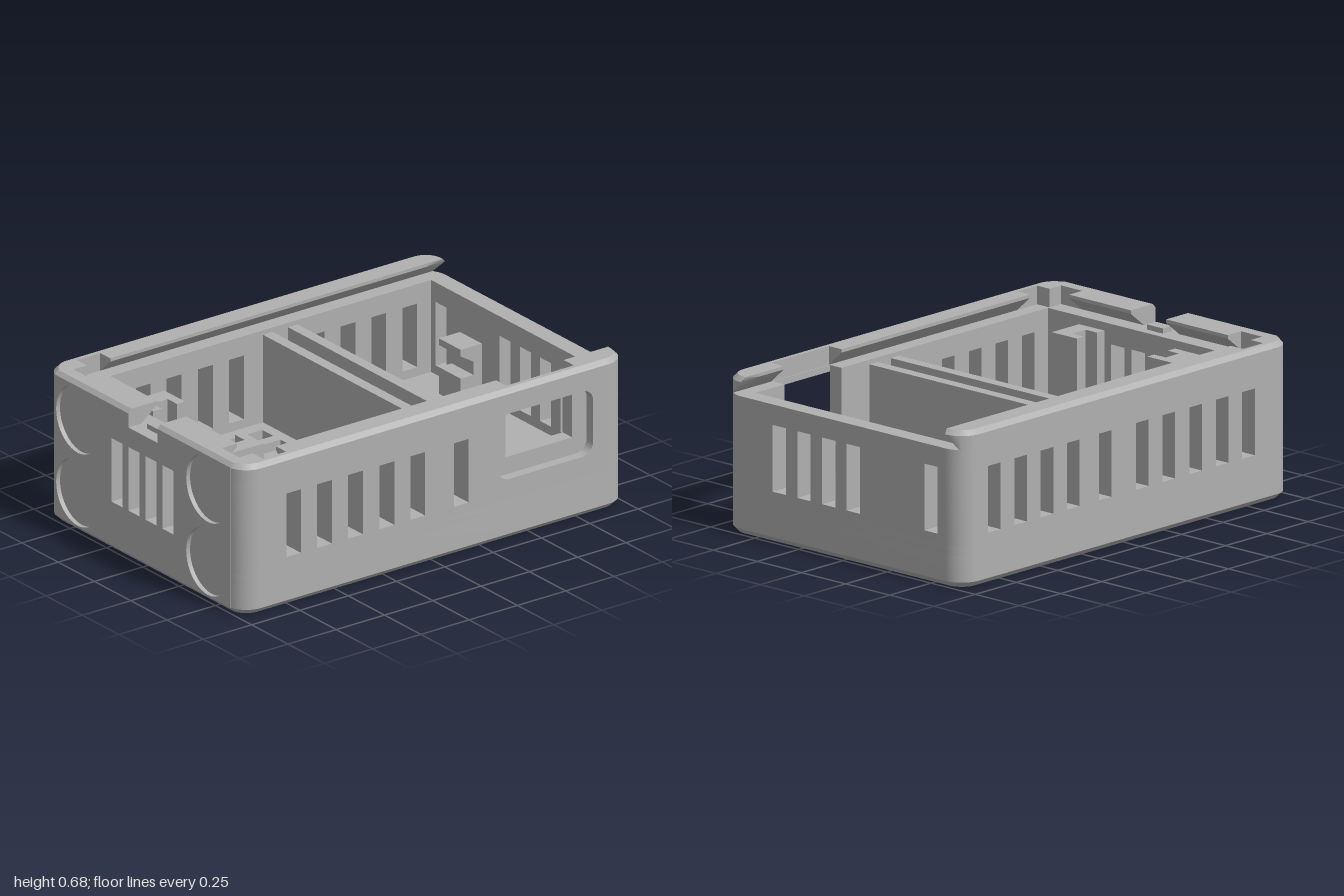
import * as THREE from 'three';
import { toCreasedNormals } from 'three/addons/utils/BufferGeometryUtils.js';
import { ConvexGeometry } from 'three/addons/geometries/ConvexGeometry.js';

const W = 0.68, R = 0.1, IN = 0.57;             // half width, corner radius, inner half width
const FLOOR = 0.18, LEDGE = 0.595, TOP = 0.675; // main heights
const BACK = -0.92, FRONT = 0.85, SKIN = 0.98;  // inner wall faces and front skin

export function createModel() {
  const model = new THREE.Group();
  const grey = new THREE.MeshStandardMaterial({ color: 0xb0b0b0 });
  grey.name = 'grey plastic';

  const add = (name, geo) => {
    const mesh = new THREE.Mesh(toCreasedNormals(geo, 0.6), grey);
    mesh.name = name;
    model.add(mesh);
  };
  const box = (name, x0, x1, y0, y1, z0, z1) => add(name,
    new THREE.BoxGeometry(Math.abs(x1 - x0), y1 - y0, z1 - z0)
      .translate((x0 + x1) / 2, (y0 + y1) / 2, (z0 + z1) / 2));
  const poly = pts => new THREE.Shape(pts.map(p => new THREE.Vector2(...p)));
  const rect = (a0, a1, b0, b1) => poly([[a0, b0], [a1, b0], [a1, b1], [a0, b1]]);
  const disc = (x, y, r) => new THREE.Shape().absarc(x, y, r, 0, Math.PI * 2);
  const extrude = (shape, holes, depth) => {
    shape.holes.push(...holes);
    return new THREE.ExtrudeGeometry(shape, { depth, bevelEnabled: false, curveSegments: 20 });
  };
  // plan: (x, -z) shape raised from y0 to y1; side: (z, y) shape from x0 to x1; front: (x, y) shape
  const plan = (name, shape, holes, y0, y1) =>
    add(name, extrude(shape, holes, y1 - y0).rotateX(-Math.PI / 2).translate(0, y0, 0));
  const side = (name, shape, holes, x0, x1) =>
    add(name, extrude(shape, holes, x1 - x0).rotateY(-Math.PI / 2).translate(x1, 0, 0));
  const front = (name, shape, holes, z0, z1) =>
    add(name, extrude(shape, holes, z1 - z0).translate(0, 0, z0));

  // Quarter arc at a corner, from the side face to the end face
  const arc = (sx, sz, r = R, n = 10, from = 0, to = Math.PI / 2) =>
    Array.from({ length: n + 1 }, (_, i) => {
      const t = from + (to - from) * i / n;
      return [sx * (W - R + r * Math.cos(t)), sz * (1 - R + r * Math.sin(t))];
    });
  const flip = pts => pts.map(([x, z]) => [x, -z]);
  const outline = inset => [
    ...arc(1, 1, R - inset), ...arc(-1, 1, R - inset).reverse(),
    ...arc(-1, -1, R - inset), ...arc(1, -1, R - inset).reverse()];

  // Floor: vents go through, keyholes are blind from below
  const vents = () => [-0.47, -0.345, -0.215, -0.08].map(x => rect(x - 0.038, x + 0.038, -0.56, 0));
  const keyholes = () => [-0.39, 0.72].map(z => {
    const s = new THREE.Shape(), a = Math.asin(0.045 / 0.14), y = -z;
    s.absarc(0.24, y, 0.14, Math.PI / 2 + a, Math.PI * 2.5 - a);
    s.absarc(0.24, y + 0.26, 0.045, 0, Math.PI);
    return s;
  });
  const arcFront = arc(1, 1, R, 10, 0, Math.acos(0.25));
  const mirrorX = pts => pts.map(([x, z]) => [-x, z]);
  const stepped = () => poly(flip([
    ...arcFront, [0.605, SKIN], [-0.605, SKIN], ...mirrorX(arcFront).reverse(),
    ...arc(-1, -1), ...arc(1, -1).reverse()]));
  plan('floorBottom', poly(flip(outline(0.025))), [...vents(), ...keyholes()], 0, 0.025);
  plan('floorMiddle', stepped(), [...vents(), ...keyholes()], 0.025, 0.14);
  plan('floorTop', stepped(), vents(), 0.14, FLOOR);

  // Chamfer around the bottom edge
  const low = outline(0.025), high = outline(0), pos = [];
  low.forEach((_, i) => {
    const j = (i + 1) % low.length;
    const a = [low[i][0], 0, low[i][1]], b = [low[j][0], 0, low[j][1]];
    const c = [high[j][0], 0.025, high[j][1]], d = [high[i][0], 0.025, high[i][1]];
    pos.push(...a, ...c, ...b, ...a, ...d, ...c);
  });
  const skirt = new THREE.BufferGeometry();
  skirt.setAttribute('position', new THREE.Float32BufferAttribute(pos, 3));
  skirt.computeVertexNormals();
  add('bottomChamfer', skirt);

  // Side walls with vent slots
  const slots = list => list.map(c => rect(c - 0.038, c + 0.038, 0.22, 0.507));
  const shared = [0.73, 0.57, 0.41, 0.247, 0.087, -0.138];
  side('rightWall', rect(-0.9, FRONT, FLOOR, LEDGE), slots([...shared, -0.33, -0.49, -0.65, -0.81]), -W, -IN);
  const port = new THREE.Shape(), pr = 0.055;
  port.absarc(-0.33 - pr, 0.567 - pr, pr, 0, Math.PI / 2);
  port.absarc(-0.82 + pr, 0.567 - pr, pr, Math.PI / 2, Math.PI);
  port.absarc(-0.82 + pr, 0.272 + pr, pr, Math.PI, Math.PI * 1.5);
  port.absarc(-0.33 - pr, 0.272 + pr, pr, Math.PI * 1.5, Math.PI * 2);
  side('leftWallOuter', rect(-0.9, FRONT, FLOOR, LEDGE), [...slots(shared), port], 0.635, W);
  side('leftWallInner', poly([[-0.9, FLOOR], [FRONT, FLOOR], [FRONT, LEDGE], [-0.4, LEDGE],
    [-0.4, 0.35], [-0.745, 0.35], [-0.745, LEDGE], [-0.9, LEDGE]]), slots(shared), IN, 0.635);

  // Back and front walls; the front skin carries round recesses and the latch notch
  front('backWall', rect(-IN, IN, FLOOR, LEDGE), slots([0.36, 0.22, 0.08, -0.06, -0.5]), -1, BACK);
  const frontSlots = () => slots([-0.177, -0.06, 0.058, 0.173]);
  front('frontWall', rect(-IN, IN, FLOOR, LEDGE), frontSlots(), FRONT, SKIN);
  const discs = [-1, 1].flatMap(s => [0.179, 0.508].map(y => disc(s * 0.448, y, 0.149)));
  front('frontSkin', poly([[-0.605, 0.025], [0.605, 0.025], [0.605, 0.658], [0.1, 0.658],
    [0.1, LEDGE], [-0.1, LEDGE], [-0.1, 0.658], [-0.605, 0.658]]), [...frontSlots(), ...discs], SKIN, 1);
  box('latchBump', -0.045, 0.045, LEDGE, 0.617, 0.89, 0.945);

  for (const s of [-1, 1]) {
    const mx = pts => pts.map(([x, z]) => [s * x, z]);

    // Corner posts
    plan('frontCorner', poly(flip(mx([[IN, FRONT], [W, FRONT], ...arcFront,
      [0.605, SKIN], [IN, SKIN]]))), [], FLOOR, LEDGE);
    plan('backCorner', poly(flip(mx([[IN, -0.9], ...arc(1, -1), [IN, -1]]))), [], FLOOR, LEDGE);

    // Undercut rails that hold a sliding lid, thin where the overhang is cut away
    const outer = [[W, LEDGE], [W, 0.655], [0.66, TOP]];
    const full = [...outer, [IN, TOP], [IN, 0.66], [0.64, LEDGE]];
    const thin = [...outer, [0.64, TOP], [0.64, LEDGE]];
    const runs = s > 0
      ? [[-0.9, -0.75, full], [-0.75, -0.4, thin], [-0.4, 0.74, full], [0.74, 0.86, thin]]
      : [[-0.9, 0.74, full], [0.74, 0.86, thin]];
    for (const [z0, z1, profile] of runs) front('lidRail', poly(mx(profile)), [], z0, z1);

    // Rounded rail ends
    const v = y => ([x, z]) => new THREE.Vector3(s * x, y, z);
    add('railBackEnd', new ConvexGeometry([
      ...full.map(([x, y]) => new THREE.Vector3(s * x, y, -0.9)),
      ...arc(1, -1, R, 8, 0, Math.acos(0.6)).map(v(LEDGE)),
      ...arc(1, -1).map(v(0.655)), ...arc(1, -1, 0.08).map(v(TOP)), v(TOP)([IN, -0.98])]));
    add('railFrontCorner', new ConvexGeometry([
      ...[[0.605, 0.86], [W, 0.86], ...arcFront].flatMap(p => [v(LEDGE)(p), v(0.655)(p)]),
      ...[[0.605, 0.86], [0.66, 0.86], ...arc(1, 1, 0.08, 10, 0, Math.acos(0.3125))].map(v(TOP))]));
    box('railCornerFill', s * IN, s * 0.605, LEDGE, TOP, 0.86, 0.93);

    // Front lip
    const face = [[SKIN, LEDGE], [SKIN, 0.658], [1, 0.658], [0.983, TOP]];
    const lip = [...face, [FRONT, TOP], [FRONT, 0.66], [0.93, LEDGE]];
    const thinLip = [...face, [0.93, TOP], [0.93, LEDGE]];
    const span = (a, b) => [Math.min(s * a, s * b), Math.max(s * a, s * b)];
    side('frontLip', poly(lip), [], ...span(0.1, 0.45));
    side('frontLipThin', poly(thinLip), [], ...span(0.45, 0.605));

    // Clip posts with a slotted overhang
    box('clipPost', s * 0.265, s * 0.342, FLOOR, 0.58, 0.63, 0.797);
    for (const [z0, z1] of [[0.63, 0.672], [0.752, 0.797]])
      front('clipJaw', poly(mx([[0.265, 0.25], [0.2, 0.315], [0.2, 0.58], [0.265, 0.58]])), [], z0, z1);
    box('clipFoot', s * 0.2, s * 0.265, FLOOR, 0.215, 0.672, 0.752);
  }

  // Double divider with a cable opening
  for (const z of [-0.23, -0.1])
    front('divider', poly([[-IN, FLOOR], [0.13, FLOOR], [0.13, 0.32], [0.42, 0.32], [0.42, FLOOR],
      [IN, FLOOR], [IN, 0.575], [-IN, 0.575]]), [], z, z + 0.05);

  // Board holders: C-shaped brackets on the divider, back wall and left wall
  const bracket = (wall, d) => [[wall, FLOOR], [wall + d, FLOOR], [wall + d, 0.3], [wall + d * 0.4, 0.3],
    [wall + d * 0.4, 0.36], [wall + d, 0.4], [wall + d, 0.43], [wall, 0.43]];
  side('backBracket', poly(bracket(BACK, 0.11)), [], -0.37, -0.22);
  side('dividerBracket', poly(bracket(-0.23, -0.11)), [], -0.37, -0.22);
  front('sideBracket', poly(bracket(IN, -0.07).map(([x, y]) => [x, Math.min(y, 0.35)])
    .filter((p, i) => i < 3 || i === 7)), [], -0.67, -0.49);

  return model;
}
